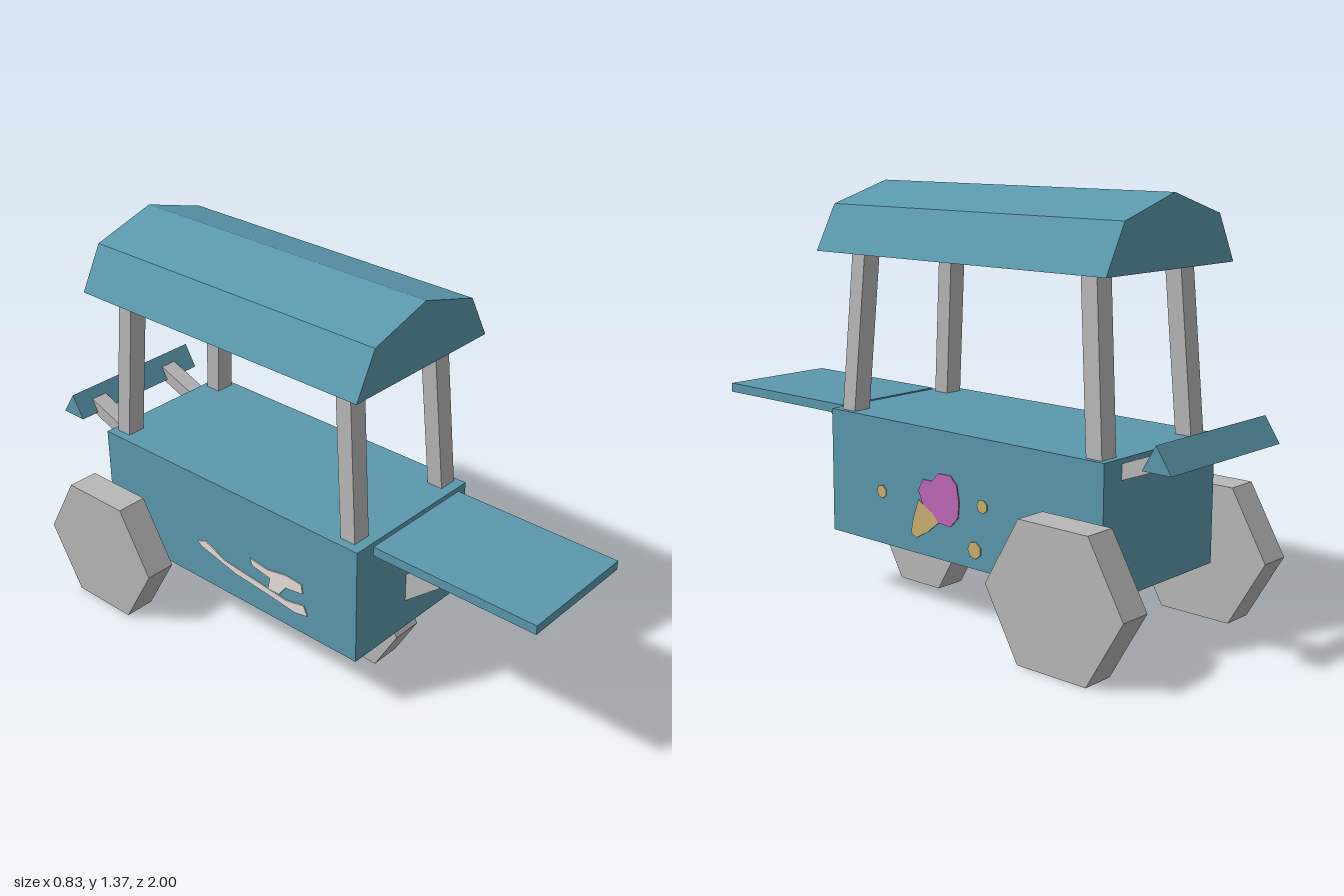
import * as THREE from 'three';

const paint = (name, color) => {
  const m = new THREE.MeshStandardMaterial({ color });
  m.name = name;
  return m;
};

export function createModel() {
  const teal = paint('teal', 0x5a98ac);
  const grey = paint('grey', 0xb8b8b8);
  const pink = paint('pink', 0xc069b8);
  const wafer = paint('wafer', 0xc9af72);
  const cream = paint('cream', 0xeae2dc);

  const cart = new THREE.Group();
  cart.name = 'vendingCart';

  const add = (name, geometry, material) => {
    const mesh = new THREE.Mesh(geometry, material);
    mesh.name = name;
    cart.add(mesh);
    return mesh;
  };

  // Box given by its limits on each axis
  const box = (name, material, [x0, x1], [y0, y1], [z0, z1]) => {
    const g = new THREE.BoxGeometry(x1 - x0, y1 - y0, z1 - z0);
    g.translate((x0 + x1) / 2, (y0 + y1) / 2, (z0 + z1) / 2);
    return add(name, g, material);
  };

  const extrude = (points, depth) => new THREE.ExtrudeGeometry(
    new THREE.Shape(points.map(([u, v]) => new THREE.Vector2(u, v))),
    { depth, bevelEnabled: false });

  // Side profile of [z, y] points, extruded across x
  const sideProfile = (name, material, points, x0, x1) => {
    const g = extrude(points, x1 - x0);
    g.rotateY(-Math.PI / 2).translate(x1, 0, 0);
    return add(name, g, material);
  };

  // Body and front serving shelf
  box('body', teal, [-0.27, 0.285], [0.2, 0.62], [-0.77, 0.38]);
  box('servingShelf', teal, [-0.21, 0.225], [0.588, 0.62], [0.395, 1]);
  sideProfile('shelfStrut', grey,
    [[0.72, 0.588], [0.595, 0.588], [0.38, 0.41], [0.38, 0.305]], -0.02, 0.05);

  // Faceted roof with a flat underside
  const roof = extrude(
    [[-0.295, 1.15], [0.33, 1.15], [0.25, 1.3], [0.017, 1.37], [-0.215, 1.3]], 1.19);
  add('roof', roof.translate(0, 0, -0.8), teal);

  // Posts leaning inwards towards the roof
  for (const side of [-1, 1]) {
    for (const [label, zLow, zHigh] of [['front', 0.315, 0.275], ['rear', -0.72, -0.678]]) {
      const g = new THREE.BoxGeometry(0.067, 0.53, 0.058);
      const p = g.attributes.position;
      for (let i = 0; i < p.count; i++) {
        const top = p.getY(i) > 0;
        p.setX(i, p.getX(i) + 0.015 + side * (top ? 0.203 : 0.22));
        p.setZ(i, p.getZ(i) + (top ? zHigh : zLow));
        p.setY(i, top ? 1.15 : 0.62);
      }
      g.computeVertexNormals();
      add(label + (side > 0 ? 'Left' : 'Right') + 'Post', g, grey);
    }
  }

  // Push handle: triangular bar on two arms
  sideProfile('handleBar', teal, [[-0.947, 0.7], [-0.9, 0.62], [-1, 0.62]], -0.27, 0.285);
  for (const x of [-0.2, 0.14]) {
    sideProfile('handleArm', grey,
      [[-0.77, 0.555], [-0.77, 0.605], [-0.925, 0.665], [-0.94, 0.622], [-0.9, 0.605]], x, x + 0.062);
  }

  // Hexagonal wheels and rear axle
  const wheel = (name, radius, x, z) => {
    const g = new THREE.CylinderGeometry(radius, radius, 0.11, 6).toNonIndexed();
    g.computeVertexNormals();
    g.rotateZ(Math.PI / 2).translate(x, radius * 0.872, z);
    add(name, g, grey);
  };
  wheel('frontWheel', 0.18, 0.014, 0.186);
  wheel('rearLeftWheel', 0.256, 0.36, -0.69);
  wheel('rearRightWheel', 0.256, -0.36, -0.69);
  box('rearAxle', grey, [-0.31, 0.31], [0.2, 0.24], [-0.725, -0.69]);

  // Painted ice cream on the left side
  const leftDecal = (name, material, points) => sideProfile(name, material, points, 0.284, 0.289);
  leftDecal('iceCreamScoop', pink, [
    [-0.03, 0.41], [-0.05, 0.45], [-0.09, 0.45], [-0.12, 0.48], [-0.17, 0.482], [-0.198, 0.455],
    [-0.208, 0.4], [-0.203, 0.35], [-0.17, 0.316], [-0.12, 0.32], [-0.09, 0.348], [-0.05, 0.368]]);
  leftDecal('iceCreamCone', wafer, [
    [-0.03, 0.38], [-0.05, 0.368], [-0.09, 0.348], [-0.12, 0.32],
    [-0.07, 0.28], [-0.02, 0.252], [0.005, 0.262], [-0.005, 0.31]]);
  for (const [z, y, r] of [[0.14, 0.376, 0.022], [-0.305, 0.407, 0.022], [-0.273, 0.262, 0.028]]) {
    const dot = [];
    for (let i = 0; i < 7; i++) {
      const a = i / 7 * Math.PI * 2;
      dot.push([z + r * Math.cos(a), y + r * Math.sin(a)]);
    }
    leftDecal('sprinkle', wafer, dot);
  }

  // Painted flourish on the right side
  const flourishes = [
    [[-0.33, 0.355], [-0.29, 0.37], [-0.2, 0.33], [-0.05, 0.315], [0.08, 0.3], [0.16, 0.315], [0.175, 0.28],
      [0.12, 0.27], [0, 0.285], [-0.15, 0.3], [-0.25, 0.325], [-0.31, 0.34]],
    [[-0.08, 0.395], [0, 0.385], [0.08, 0.4], [0.15, 0.395], [0.155, 0.36],
      [0.08, 0.35], [0.05, 0.31], [0, 0.31], [0.01, 0.355], [-0.07, 0.37]],
  ];
  for (const points of flourishes) sideProfile('flourish', cream, points, -0.274, -0.269);

  return cart;
}
